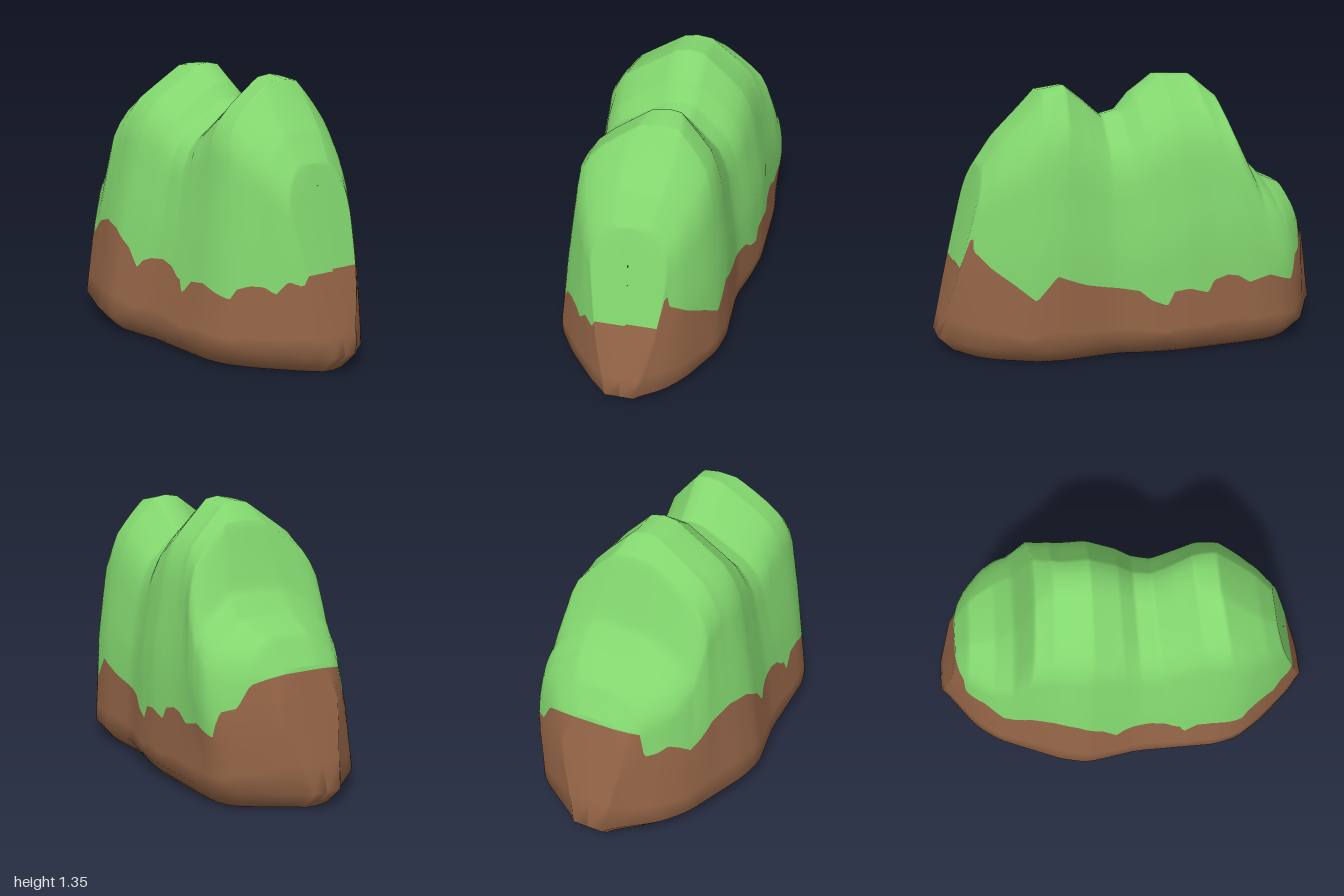
import * as THREE from 'three';

// Linear interpolation through [position, value] pairs
function curve(pts) {
  return (t) => {
    if (t <= pts[0][0]) return pts[0][1];
    for (let i = 1; i < pts.length; i++) {
      const [a, p] = pts[i - 1], [b, q] = pts[i];
      if (t <= b) return p + (q - p) * (t - a) / (b - a);
    }
    return pts[pts.length - 1][1];
  };
}

// The same curve with its corners rounded over a width r
function softCurve(r, pts) {
  const f = curve(pts);
  return (t) => {
    let sum = 0;
    for (let k = -3; k <= 3; k++) sum += f(t + r * k / 3);
    return sum / 7;
  };
}

// Base outline, front and back
const frontZ = softCurve(0.04, [[-1, 0], [-0.82, 0.24], [-0.7, 0.33], [-0.36, 0.47], [-0.22, 0.5], [0.05, 0.46],
  [0.48, 0.46], [0.61, 0.43], [0.76, 0.33], [0.95, 0.16], [1, 0.08]]);
const backZ = softCurve(0.04, [[-1, -0.12], [-0.8, -0.43], [-0.7, -0.48], [-0.55, -0.49], [-0.16, -0.48], [0, -0.45],
  [0.18, -0.4], [0.47, -0.4], [0.61, -0.37], [0.82, -0.25], [0.93, -0.15], [1, -0.02]]);

// Ridge line: height and depth
const ridgeY = curve([[-1, 0.64], [-0.94, 0.77], [-0.785, 0.84], [-0.68, 0.95], [-0.59, 1.25], [-0.46, 1.34],
  [-0.2, 1.35], [0, 1.26], [0.1, 1.18], [0.23, 1.16], [0.37, 1.24], [0.53, 1.32], [0.7, 1.3], [0.92, 1.07], [1, 0.94]]);
const ridgeZ = softCurve(0.1, [[-1, -0.08], [-0.8, -0.15], [-0.6, -0.1], [-0.4, -0.07], [0.7, -0.07], [1, 0.02]]);

// Wall profile: share of the base width left at each share of the height
const frontWall = curve([[0, 1], [0.4, 0.87], [0.77, 0.71], [0.86, 0.56], [0.995, 0.1], [1, 0]]);
const backWall = curve([[0, 1], [0.4, 0.95], [0.75, 0.77], [0.85, 0.62], [0.995, 0.15], [1, 0]]);

// Below 1 the profile gets fuller, towards both ends
const fullness = softCurve(0.1, [[-1, 0.5], [-0.65, 0.55], [-0.5, 1], [0.45, 1], [0.75, 0.7], [1, 0.5]]);

// Ragged edge where grass meets earth
const frontEdge = curve([[-1, 0.62], [-0.95, 0.6], [-0.92, 0.48], [-0.87, 0.48], [-0.82, 0.5], [-0.76, 0.47],
  [-0.7, 0.43], [-0.64, 0.46], [-0.56, 0.52], [-0.42, 0.55], [-0.28, 0.53], [-0.14, 0.45], [-0.06, 0.36],
  [-0.02, 0.4], [0.04, 0.42], [0.14, 0.43], [0.22, 0.41], [0.27, 0.37], [0.3, 0.36], [0.32, 0.3], [0.4, 0.37],
  [0.5, 0.38], [0.58, 0.35], [0.66, 0.33], [0.7, 0.38], [0.76, 0.4], [0.82, 0.4], [0.86, 0.37], [0.92, 0.43],
  [0.97, 0.41], [1, 0.46]]);
const backEdge = curve([[-1, 0.62], [-0.93, 0.58], [-0.88, 0.48], [-0.82, 0.46], [-0.76, 0.34], [-0.64, 0.38],
  [-0.52, 0.35], [-0.46, 0.39], [-0.4, 0.4], [-0.32, 0.38], [-0.28, 0.32], [-0.18, 0.35], [-0.1, 0.34], [-0.06, 0.27],
  [0.02, 0.3], [0.08, 0.35], [0.26, 0.38], [0.36, 0.4], [0.42, 0.42], [0.53, 0.46], [0.62, 0.34], [0.74, 0.42],
  [0.86, 0.49], [0.94, 0.55], [0.96, 0.56], [0.97, 0.61], [0.985, 0.64], [1, 0.47]]);

const BASE = 0.09, EARTH = 4, GRASS = 12;

// Rows of one side from the underside centre up to the ridge
function sidePoints(u, front) {
  const H = ridgeY(u), zr = ridgeZ(u), outline = front ? frontZ : backZ;
  const mid = (frontZ(u) + backZ(u)) / 2;
  const edge = Math.min((front ? frontEdge : backEdge)(u), H - 0.02);
  const pts = [[u * 0.92, 0, mid], [u * 0.92, 0.005, mid + (outline(u) - mid) * 0.85]];
  const wall = (y) => {
    const v = (y - BASE) / (H - BASE), x = u * (1 - 0.28 * (y - BASE));
    // the ends lean inwards, so the outline there widens with height
    const zb = outline(u) + (outline(x) - outline(u)) * 0.7;
    let z = zr + (zb - zr) * (front ? frontWall : backWall)(v) ** fullness(u);
    // rear bulge of the low side lobe
    if (!front) z -= 0.045 * Math.exp(-(((u + 0.76) / 0.18) ** 2)) * Math.sin(Math.PI * Math.min(1, v) ** 1.5);
    pts.push([x, y, z]);
  };
  for (let k = 0; k < EARTH; k++) wall(BASE + (edge - BASE) * k / EARTH);
  for (let k = 0; k < GRASS; k++) wall(edge + (H - edge) * (1 - (1 - k / GRASS) ** 1.8));
  wall(H);
  return pts;
}

// Closed cross-section: up the front, over the ridge, down the back
function section(u) {
  const f = sidePoints(u, true), b = sidePoints(u, false);
  return [...f, ...b.slice(1, -1).reverse()];
}

export function createModel() {
  const grass = new THREE.MeshStandardMaterial({ color: 0x82d66e });
  grass.name = 'grass green';
  const earth = new THREE.MeshStandardMaterial({ color: 0x936446 });
  earth.name = 'earth brown';

  const steps = 160, rings = [];
  for (let i = 0; i <= steps; i++) rings.push(section(-1 + 2 * i / steps));
  // close each end wall along its middle line
  const collapse = (ring) => {
    const n = ring.length;
    return ring.map((p, j) => [p[0], p[1], (p[2] + ring[(n - j) % n][2]) / 2]);
  };
  rings.unshift(collapse(rings[0]));
  rings.push(collapse(rings[rings.length - 1]));

  const n = rings[0].length, first = 2 + EARTH, last = n - first;
  const faces = { earth: [], grass: [] };
  for (let i = 0; i < rings.length - 1; i++) {
    for (let j = 0; j < n; j++) {
      const a = i * n + j, d = i * n + (j + 1) % n, b = a + n, c = d + n;
      faces[j >= first && j < last ? 'grass' : 'earth'].push(a, b, c, a, c, d);
    }
  }

  const geo = new THREE.BufferGeometry();
  geo.setAttribute('position', new THREE.Float32BufferAttribute(rings.flat(2), 3));
  geo.setIndex([...faces.earth, ...faces.grass]);
  geo.addGroup(0, faces.earth.length, 0);
  geo.addGroup(faces.earth.length, faces.grass.length, 1);
  geo.computeVertexNormals();

  const hill = new THREE.Mesh(geo, [earth, grass]);
  hill.name = 'hill';
  const group = new THREE.Group();
  group.name = 'grassyHill';
  group.add(hill);
  return group;
}
